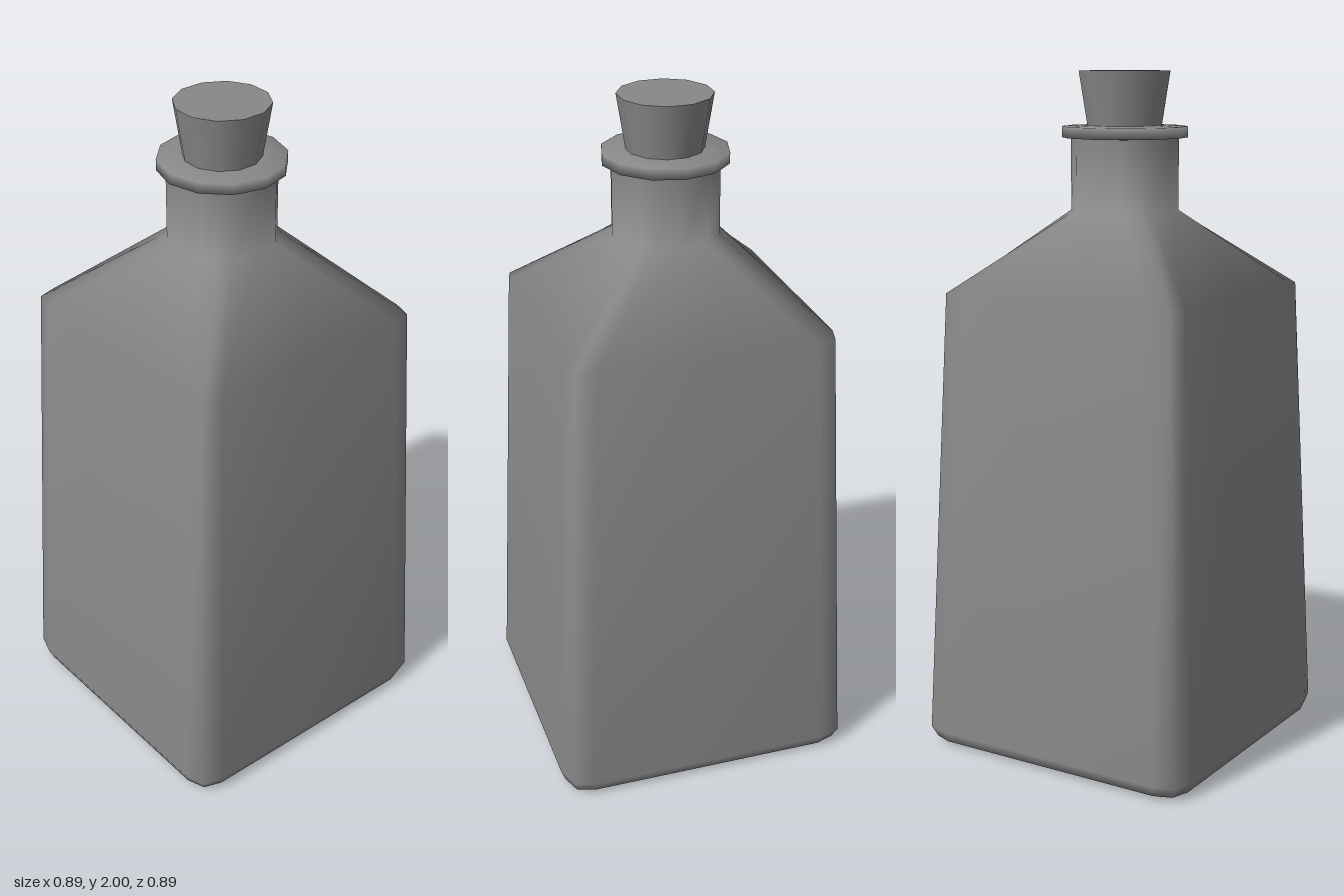
import * as THREE from 'three';

const material = new THREE.MeshStandardMaterial({ color: 0x888888, side: THREE.DoubleSide });
const SIDES = 16;

// One quarter of a square section with bevelled corners, turned four times
function squareRing(y, half, flat, corner) {
  return turned(y, [[half, 0], [half, flat], [corner, corner], [flat, half]]);
}

// A twelve-sided circle with an extra point on each diagonal, to match the square
function roundRing(y, r) {
  const c = Math.cos(Math.PI / 6) * r;
  const d = Math.cos(Math.PI / 12) * r * Math.SQRT1_2;
  return turned(y, [[r, 0], [c, r / 2], [d, d], [r / 2, c]]);
}

function turned(y, quarter) {
  const ring = [];
  for (let q = 0; q < 4; q++) {
    for (let [x, z] of quarter) {
      for (let i = 0; i < q; i++) [x, z] = [-z, x];
      ring.push([x, y, z]);
    }
  }
  return ring;
}

// Skin the rings from bottom to top and close the base
function loft(rings) {
  const points = [...rings.flat(), [0, rings[0][0][1], 0]];
  const centre = points.length - 1;
  const index = [];
  for (let k = 0; k < SIDES; k++) {
    const n = (k + 1) % SIDES;
    index.push(centre, k, n);
    for (let i = 0; i < rings.length - 1; i++) {
      const a = i * SIDES + k, b = i * SIDES + n;
      index.push(a, a + SIDES, b, b, a + SIDES, b + SIDES);
    }
  }
  const geometry = new THREE.BufferGeometry();
  geometry.setAttribute('position', new THREE.Float32BufferAttribute(points.flat(), 3));
  geometry.setIndex(index);
  geometry.computeVertexNormals();
  return geometry;
}

export function createModel() {
  const group = new THREE.Group();
  const add = (name, geometry) => {
    const mesh = new THREE.Mesh(geometry, material);
    mesh.name = name;
    group.add(mesh);
    return mesh;
  };

  // Tapered square body, sloping shoulders and round neck in one smooth skin
  add('bottleBody', loft([
    squareRing(0, 0.405, 0.345, 0.39),
    squareRing(0.012, 0.432, 0.36, 0.413),
    squareRing(0.045, 0.446, 0.365, 0.427),
    squareRing(1.37, 0.39, 0.32, 0.375),
    roundRing(1.6, 0.157),
    roundRing(1.815, 0.157),
  ]));

  // Softly shaded lip around the mouth
  const lip = [[0.15, 1.808], [0.183, 1.81], [0.183, 1.842], [0.1, 1.845]];
  add('lip', new THREE.LatheGeometry(lip.map(([x, y]) => new THREE.Vector2(x, y)), 12));

  // Tapered stopper
  const stopper = add('stopper', new THREE.CylinderGeometry(0.136, 0.107, 0.18, 12, 1, false, Math.PI / 12));
  stopper.position.y = 1.91;

  return group;
}
